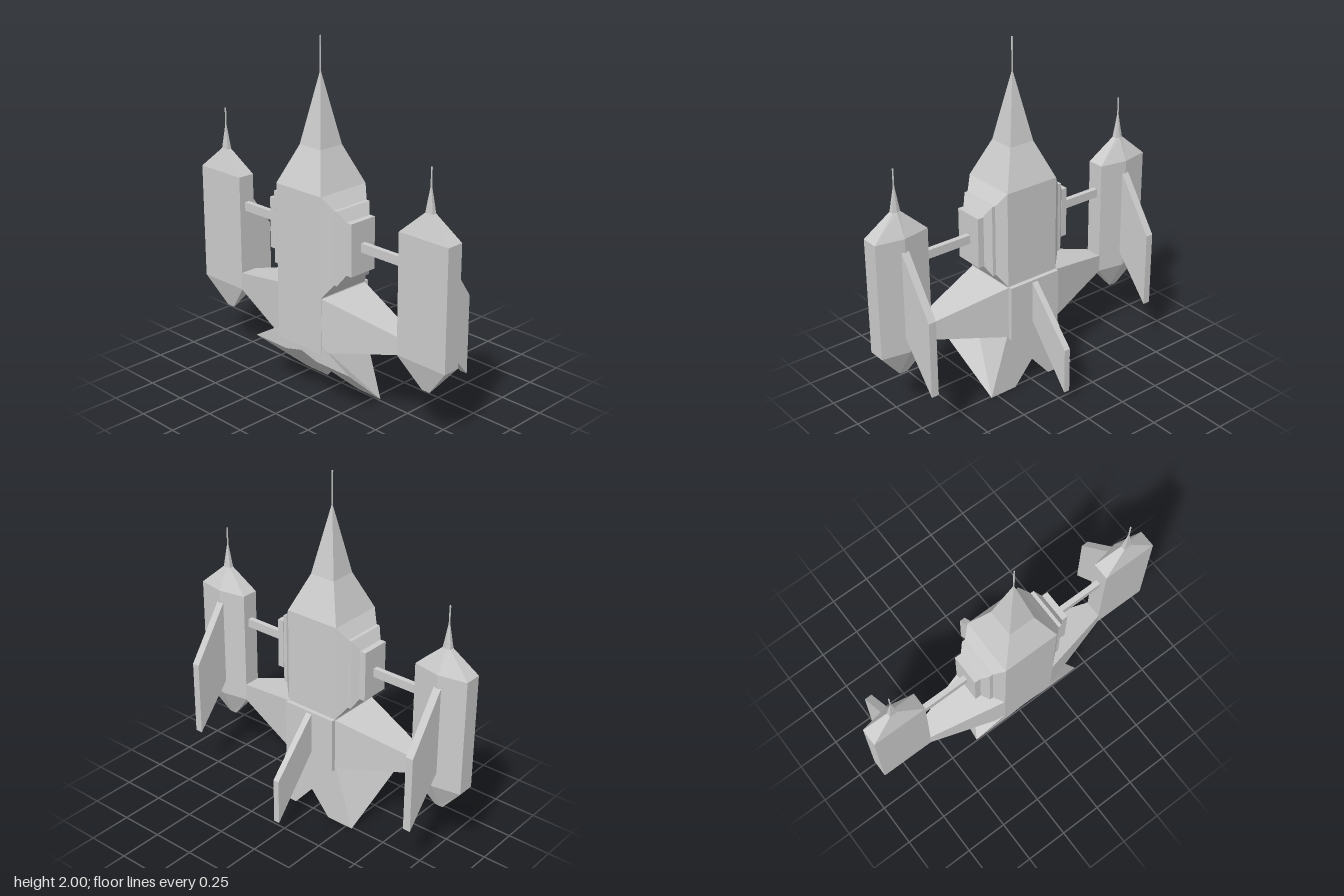
import * as THREE from 'three';

const ZC = 0.15; // depth of the hull axis

// Flat-shaded mesh from polygons; side = -1 mirrors them across x = 0.
function polyMesh(name, polys, side = 1) {
  const pos = [];
  for (const poly of polys) {
    let pts = poly.map(([x, y, z]) => new THREE.Vector3(x * side, y, z));
    if (side < 0) pts = pts.reverse();
    for (let i = 1; i < pts.length - 1; i++) {
      const tri = new THREE.Triangle(pts[0], pts[i], pts[i + 1]);
      if (tri.getArea() > 1e-8) for (const p of [tri.a, tri.b, tri.c]) pos.push(p.x, p.y, p.z);
    }
  }
  const geo = new THREE.BufferGeometry();
  geo.setAttribute('position', new THREE.Float32BufferAttribute(pos, 3));
  geo.computeVertexNormals();
  const mesh = new THREE.Mesh(geo, new THREE.MeshStandardMaterial({ color: 0xcccccc, flatShading: true }));
  mesh.name = name;
  return mesh;
}

// Skin a stack of matching cross-sections and cap both ends.
function loft(name, rings, side = 1) {
  const n = rings[0].length;
  const polys = [[...rings[0]].reverse(), rings[rings.length - 1]];
  for (let r = 0; r < rings.length - 1; r++) {
    const a = rings[r], b = rings[r + 1];
    for (let i = 0; i < n; i++) {
      const j = (i + 1) % n;
      polys.push([a[i], a[j], b[j], b[i]]);
    }
  }
  return polyMesh(name, polys, side);
}

// Rectangular sections: level (constant y) and upright (constant x).
const level = (y, x0, x1, z0, z1) => [[x1, y, z1], [x1, y, z0], [x0, y, z0], [x0, y, z1]];
const upright = (x, y0, y1, z0, z1) => [[x, y0, z1], [x, y0, z0], [x, y1, z0], [x, y1, z1]];
const square = (y, cx, h) => level(y, cx - h, cx + h, ZC - h, ZC + h);

// Slanted blade with a side outline of [z, y] points.
const fin = (name, cx, half, outline, side) =>
  loft(name, [cx - half, cx + half].map(x => outline.map(([z, y]) => [x, y, z])), side);

function sidePod(side) {
  const g = new THREE.Group();
  g.name = side > 0 ? 'leftPod' : 'rightPod';
  const cx = 0.755;
  // five-sided section: flat front, ridged back
  const section = (y, hx, zf, zb, zr) => [
    [cx + hx, y, zf], [cx + hx, y, zb], [cx, y, zr], [cx - hx, y, zb], [cx - hx, y, zf]];
  g.add(loft('podBody', [
    section(0.285, 0.025, 0.155, 0.147, 0.145),
    section(0.45, 0.16, 0.2, 0.1, 0.07),
    section(1.12, 0.16, 0.2, 0.1, 0.07),
    section(1.245, 0.024, 0.163, 0.137, 0.13),
    section(1.38, 0.003, 0.153, 0.147, 0.146)], side));
  g.add(loft('podAntenna', [square(1.37, cx, 0.003), square(1.48, cx, 0.003)], side));
  g.add(fin('podFin', cx, 0.022,
    [[0.09, 0.56], [-0.145, 0.285], [-0.145, 0.73], [0.09, 1.07]], side));
  return g;
}

export function createModel() {
  const model = new THREE.Group();
  model.name = 'spacecraft';

  // central hull with tapering nose
  model.add(loft('hull', [
    level(0.34, -0.165, 0.165, -0.013, 0.315),
    level(1.22, -0.165, 0.165, -0.013, 0.315),
    square(1.43, 0, 0.077),
    square(1.81, 0, 0.003)]));
  model.add(loft('noseAntenna', [square(1.8, 0, 0.003), square(2, 0, 0.003)]));
  model.add(loft('backPlate', [
    level(0.34, -0.165, 0.165, -0.038, 0),
    level(0.665, -0.165, 0.165, -0.038, 0)]));
  model.add(fin('tailFin', 0, 0.018,
    [[-0.03, 0.42], [-0.315, 0.08], [-0.315, 0.35], [-0.03, 0.66]]));

  // flared tail skirt with a central notch, one half per side
  const T0 = [0, 0.39, 0.312], T1 = [0.165, 0.39, 0.312];
  const U0 = [0, 0.39, -0.012], U1 = [0.165, 0.39, -0.012];
  const A = [0.36, 0.28, 0.306], C = [0.12, 0.28, 0.306], D = [0, 0.31, 0.306];
  const B1 = [0.29, 0, -0.012], B2 = [0.12, 0, -0.012], N = [0, 0.14, -0.012];
  const skirt = [
    [T0, D, C, A, T1], [T1, A, B1, U1], [U0, U1, B1, B2, N],
    [A, C, B2, B1], [C, D, N, B2], [T0, T1, U1, U0]];

  for (const side of [1, -1]) {
    model.add(polyMesh('tailSkirt', skirt, side));
    model.add(loft('wing', [
      upright(0.165, 0.35, 0.66, -0.013, 0.312),
      upright(0.6, 0.45, 0.55, 0.1, 0.2)], side));

    // stepped mounting on the hull flank
    model.add(loft('flankMount', [
      upright(0.165, 0.665, 1.22, -0.013, 0.315),
      upright(0.215, 0.74, 1.15, 0.03, 0.27),
      upright(0.235, 0.74, 1.15, 0.03, 0.27),
      upright(0.27, 0.8, 1.09, 0.065, 0.235)], side));
    model.add(loft('mountPlate', [
      upright(0.268, 0.8, 1.09, 0.062, 0.235),
      upright(0.305, 0.8, 1.09, 0.062, 0.235)], side));
    model.add(loft('strut', [
      upright(0.3, 0.918, 0.968, 0.133, 0.163),
      upright(0.6, 0.918, 0.968, 0.133, 0.163)], side));
    model.add(sidePod(side));
  }
  return model;
}
